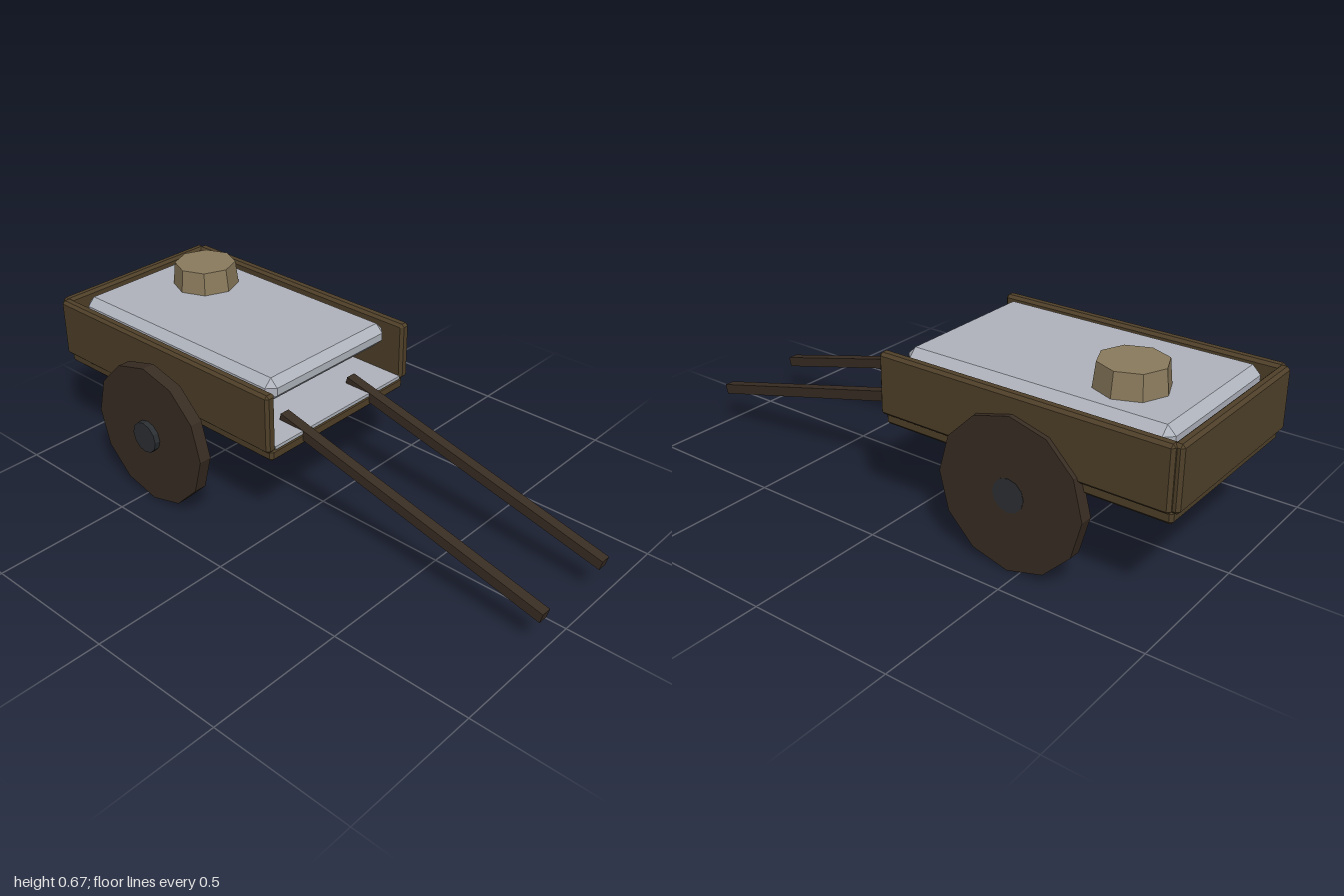
import * as THREE from 'three';
import { ConvexGeometry } from 'three/addons/geometries/ConvexGeometry.js';

const mat = (name, color) => {
  const m = new THREE.MeshStandardMaterial({ color, flatShading: true });
  m.name = name;
  return m;
};

// Box given by its limits, with every edge chamfered by b
function chamferBox([x0, x1], [y0, y1], [z0, z1], b) {
  const h = [(x1 - x0) / 2, (y1 - y0) / 2, (z1 - z0) / 2];
  const points = [];
  for (const sx of [-1, 1]) for (const sy of [-1, 1]) for (const sz of [-1, 1]) {
    for (let full = 0; full < 3; full++) {
      const [x, y, z] = h.map((v, i) => (i === full ? v : v - b));
      points.push(new THREE.Vector3(sx * x, sy * y, sz * z));
    }
  }
  return new ConvexGeometry(points).translate((x0 + x1) / 2, (y0 + y1) / 2, (z0 + z1) / 2);
}

export function createModel() {
  const wood = mat('brown wood', 0x4f4029);
  const darkWood = mat('dark wood', 0x392d23);
  const iron = mat('dark iron', 0x2c2f33);
  const stone = mat('pale grey', 0xb0b4bd);
  const tan = mat('tan wood', 0x8b7b5d);

  const cart = new THREE.Group();
  cart.name = 'handcart';
  const add = (name, geometry, material, parent = cart) => {
    const mesh = new THREE.Mesh(geometry, material);
    mesh.name = name;
    parent.add(mesh);
    return mesh;
  };

  // Open-fronted tray with a pale lining on its floor
  add('bed', chamferBox([-0.98, 0.05], [0.33, 0.375], [-0.365, 0.3], 0.01), wood);
  add('leftWall', chamferBox([-0.98, 0.055], [0.37, 0.582], [0.28, 0.32], 0.01), wood);
  add('rightWall', chamferBox([-0.98, 0.055], [0.37, 0.582], [-0.385, -0.345], 0.01), wood);
  add('backWall', chamferBox([-1, -0.963], [0.37, 0.582], [-0.37, 0.3], 0.01), wood);
  const lining = new THREE.BoxGeometry(1.015, 0.012, 0.626).translate(-0.4575, 0.378, -0.0325);
  add('floorLining', lining, stone);

  // Bevelled slab hanging above the floor
  add('slab', chamferBox([-0.935, 0.01], [0.505, 0.588], [-0.32, 0.255], 0.028), stone);

  // Tapered octagonal tub standing on the floor and rising through the slab
  const tub = add('tub', new THREE.CylinderGeometry(0.11, 0.143, 0.29, 8), tan);
  tub.position.set(-0.7, 0.525, -0.13);

  // Twelve-sided wheels; both hubs project towards the left
  for (const [name, z] of [['leftWheel', 0.362], ['rightWheel', -0.379]]) {
    const wheel = new THREE.Group();
    wheel.name = name;
    const disc = new THREE.CylinderGeometry(0.26, 0.26, 0.046, 12).rotateX(Math.PI / 2);
    const hub = new THREE.CylinderGeometry(0.057, 0.057, 0.067, 12).rotateX(Math.PI / 2);
    add('disc', disc, darkWood, wheel);
    add('hub', hub, iron, wheel).position.z = name === 'leftWheel' ? 0.01 : 0.009;
    wheel.position.set(-0.46, 0.261, z);
    cart.add(wheel);
  }

  // Two pull shafts sloping down to the right
  const start = new THREE.Vector2(-0.055, 0.392);
  const end = new THREE.Vector2(0.995, 0.134);
  const along = end.clone().sub(start);
  for (const [name, z] of [['leftShaft', 0.134], ['rightShaft', -0.199]]) {
    const shaft = add(name, new THREE.BoxGeometry(along.length(), 0.036, 0.037), darkWood);
    shaft.position.set((start.x + end.x) / 2, (start.y + end.y) / 2, z);
    shaft.rotation.z = Math.atan2(along.y, along.x);
  }

  return cart;
}
